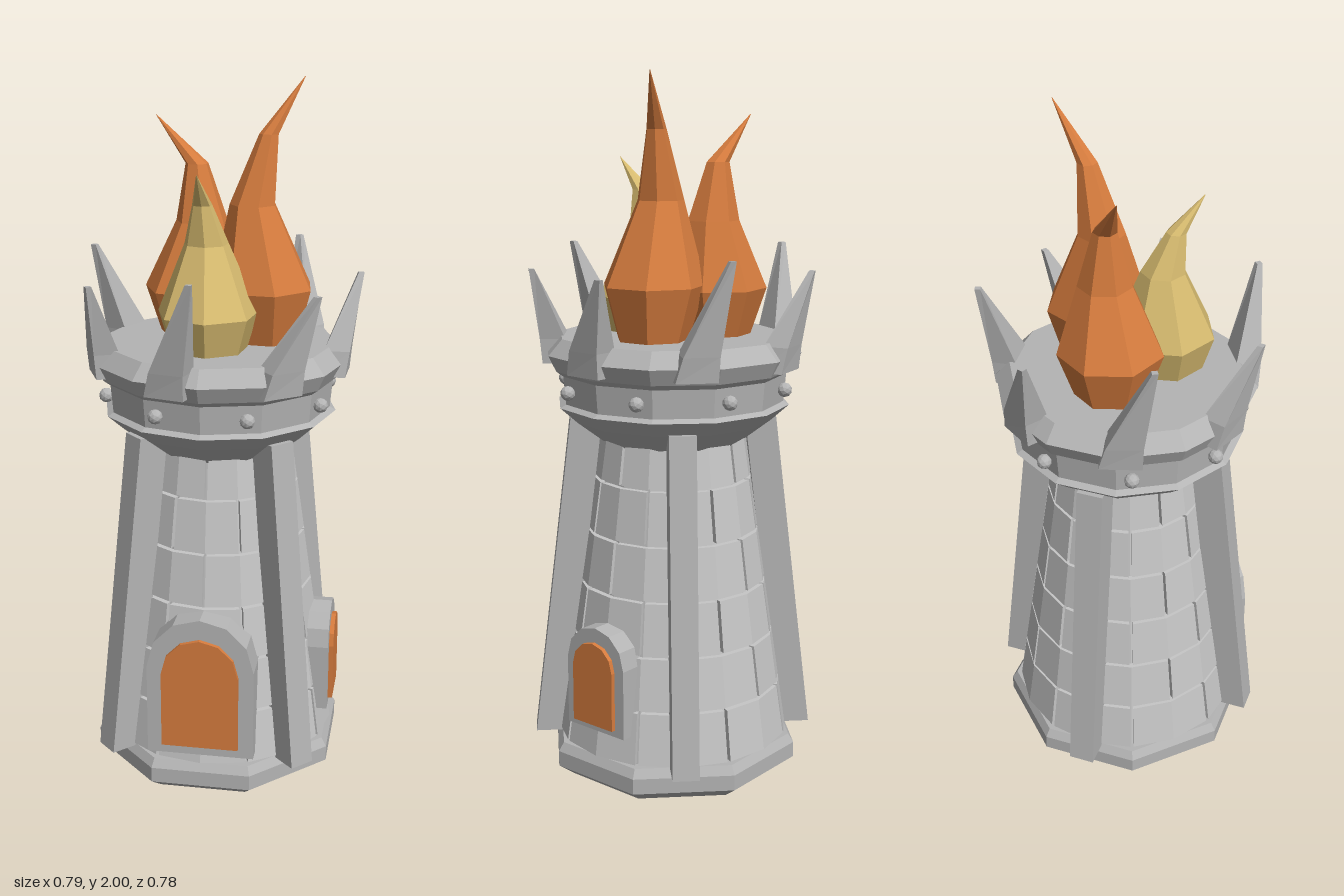
import * as THREE from 'three';

const flat = (name, color) => {
  const m = new THREE.MeshStandardMaterial({ color, flatShading: true });
  m.name = name;
  return m;
};

// Point at angle a (0 = front, turning towards +x), pushed sideways by s
const polar = (a, r, y, s = 0) => [
  r * Math.sin(a) + s * Math.cos(a), y, r * Math.cos(a) - s * Math.sin(a)];

// Regular ring of n points around (cx, cz)
const ring = (n, r, y, turn = 0, cx = 0, cz = 0) =>
  Array.from({ length: n }, (_, i) => {
    const [x, , z] = polar(turn + (i / n) * Math.PI * 2, r, y);
    return [x + cx, y, z + cz];
  });

// Solid joining convex rings from bottom to top, closed at both ends
function loft(rings) {
  const pos = [];
  const tri = (a, b, c) => pos.push(...a, ...b, ...c);
  const n = rings[0].length;
  for (let k = 0; k < rings.length - 1; k++) {
    const lo = rings[k], hi = rings[k + 1];
    for (let i = 0; i < n; i++) {
      const j = (i + 1) % n;
      tri(lo[i], lo[j], hi[j]);
      tri(lo[i], hi[j], hi[i]);
    }
  }
  const bottom = rings[0], top = rings[rings.length - 1];
  for (let i = 1; i < n - 1; i++) {
    tri(bottom[0], bottom[i + 1], bottom[i]);
    tri(top[0], top[i], top[i + 1]);
  }
  const g = new THREE.BufferGeometry();
  g.setAttribute('position', new THREE.Float32BufferAttribute(pos, 3));
  g.computeVertexNormals();
  return g;
}

// Upright slab with a round-headed outline
function arch(halfWidth, bottom, spring, depth) {
  const s = new THREE.Shape();
  s.moveTo(-halfWidth, bottom);
  s.lineTo(halfWidth, bottom);
  for (let i = 0; i <= 6; i++) {
    const a = (i / 6) * Math.PI;
    s.lineTo(halfWidth * Math.cos(a), spring + halfWidth * Math.sin(a));
  }
  return new THREE.ExtrudeGeometry(s, { depth, bevelEnabled: false });
}

export function createModel() {
  const model = new THREE.Group();
  model.name = 'flamingTower';
  const brickMat = flat('light stone', 0xc6c6c6);
  const stone = flat('grey stone', 0xb4b4b4);
  const orange = flat('orange', 0xd67c3e);
  const yellow = flat('pale yellow', 0xd8bc70);

  const tower = new THREE.Group();
  tower.name = 'tower';
  tower.position.set(-0.005, 0, -0.01);
  model.add(tower);
  const add = (name, geo, mat, parent = tower) => {
    const m = new THREE.Mesh(geo, mat);
    m.name = name;
    parent.add(m);
    return m;
  };

  // Octagonal foot
  const foot = [[0, 0.325], [0.035, 0.373], [0.08, 0.373], [0.105, 0.357]];
  add('foot', loft(foot.map(([y, r]) => ring(8, r, y, Math.PI / 8))), stone);

  // Tapering wall: inner core and rows of staggered bricks
  const wallR = (y) => 0.342 - (y - 0.105) * 0.147;
  add('wallCore', loft([0.1, 1.03].map((y) => ring(16, wallR(y) - 0.016, y))), brickMat);
  const bricks = new THREE.Group();
  bricks.name = 'bricks';
  tower.add(bricks);
  const rowH = 0.154;
  for (let row = 0; row < 6; row++) {
    const y0 = 0.108 + row * rowH, y1 = y0 + rowH - 0.009;
    for (let i = 0; i < 8; i++) {
      const mid = (i + (row % 2 ? 0.5 : 0)) * Math.PI / 4;
      const half = Math.PI / 8 - 0.005 / wallR(y0);
      const section = (y) => {
        const r = wallR(y);
        return [
          polar(mid - half, r, y), polar(mid, r, y), polar(mid + half, r, y),
          polar(mid + half, r - 0.035, y), polar(mid - half, r - 0.035, y)];
      };
      add('brick', loft([section(y0), section(y1)]), brickMat, bricks);
    }
  }

  // Four leaning corner pillars
  for (let i = 0; i < 4; i++) {
    const a = Math.PI / 4 + i * Math.PI / 2;
    const section = (y, r) => [
      polar(a, r, y, -0.0375), polar(a, r, y, 0.0375),
      polar(a, r - 0.09, y, 0.0375), polar(a, r - 0.09, y, -0.0375)];
    add('pillar', loft([section(0.1, 0.408), section(1.045, 0.295)]), stone);
  }

  // Crown with its flat deck
  const crown = [[0.975, 0.2], [1.04, 0.285], [1.085, 0.335], [1.095, 0.318], [1.175, 0.325],
    [1.19, 0.345], [1.235, 0.367], [1.28, 0.327]];
  add('crown', loft(crown.map(([y, r]) => ring(12, r, y))), stone);

  // Rivets around the crown band
  const rivet = new THREE.IcosahedronGeometry(0.021, 1);
  for (let i = 0; i < 8; i++) {
    add('rivet', rivet, stone).position.set(...polar((i + 0.5) * Math.PI / 4, 0.328, 1.135));
  }

  // Seven spikes leaning outward and sideways
  const tipY = [1.52, 1.47, 1.47, 1.52, 1.47, 1.52, 1.47];
  tipY.forEach((y, i) => {
    const tip = -0.035 + i * Math.PI * 2 / 7, base = tip - 0.22;
    const section = (a, r, h, w, d) => [
      polar(a, r + d, h, -w), polar(a, r + d, h, w),
      polar(a, r - d, h, w), polar(a, r - d, h, -w)];
    add('spike', loft([
      section(base, 0.33, 1.2, 0.058, 0.036),
      section(base + 0.03, 0.338, 1.27, 0.05, 0.036),
      section(tip, 0.398, y, 0.008, 0.008)]), stone);
  });

  // Door on the front and a window on the left side
  const opening = (name, turn, frame, panel) => {
    const g = new THREE.Group();
    g.name = name;
    g.rotation.y = turn;
    tower.add(g);
    add(name + 'Frame', arch(...frame, 0.12), stone, g).position.z = 0.22;
    add(name + 'Panel', arch(...panel, 0.02), orange, g).position.z = 0.333;
  };
  opening('door', 0, [0.153, 0.135, 0.405], [0.11, 0.165, 0.39]);
  opening('window', Math.PI / 2, [0.105, 0.185, 0.385], [0.073, 0.205, 0.375]);

  // Flames: [height, radius, centre x, centre z] from deck to tip
  const flame = (name, mat, turn, steps) =>
    add(name, loft(steps.map(([y, r, x, z]) => ring(7, r, y, turn, x, z))), mat, model);
  flame('tallFlame', orange, 0.35, [
    [1.275, 0.1, 0.12, -0.04], [1.43, 0.146, 0.115, -0.04], [1.66, 0.066, 0.085, -0.04],
    [1.85, 0.028, 0.125, -0.06], [2.0, 0.001, 0.215, -0.115]]);
  flame('middleFlame', orange, 0.2, [
    [1.275, 0.1, -0.09, -0.095], [1.41, 0.146, -0.09, -0.095], [1.6, 0.075, -0.07, -0.1],
    [1.76, 0.033, -0.085, -0.105], [1.89, 0.001, -0.205, -0.128]]);
  flame('smallFlame', yellow, 0.1, [
    [1.275, 0.11, -0.02, 0.1], [1.38, 0.143, -0.02, 0.1], [1.57, 0.062, -0.025, 0.09],
    [1.68, 0.028, -0.03, 0.125], [1.77, 0.001, -0.03, 0.207]]);

  return model;
}
